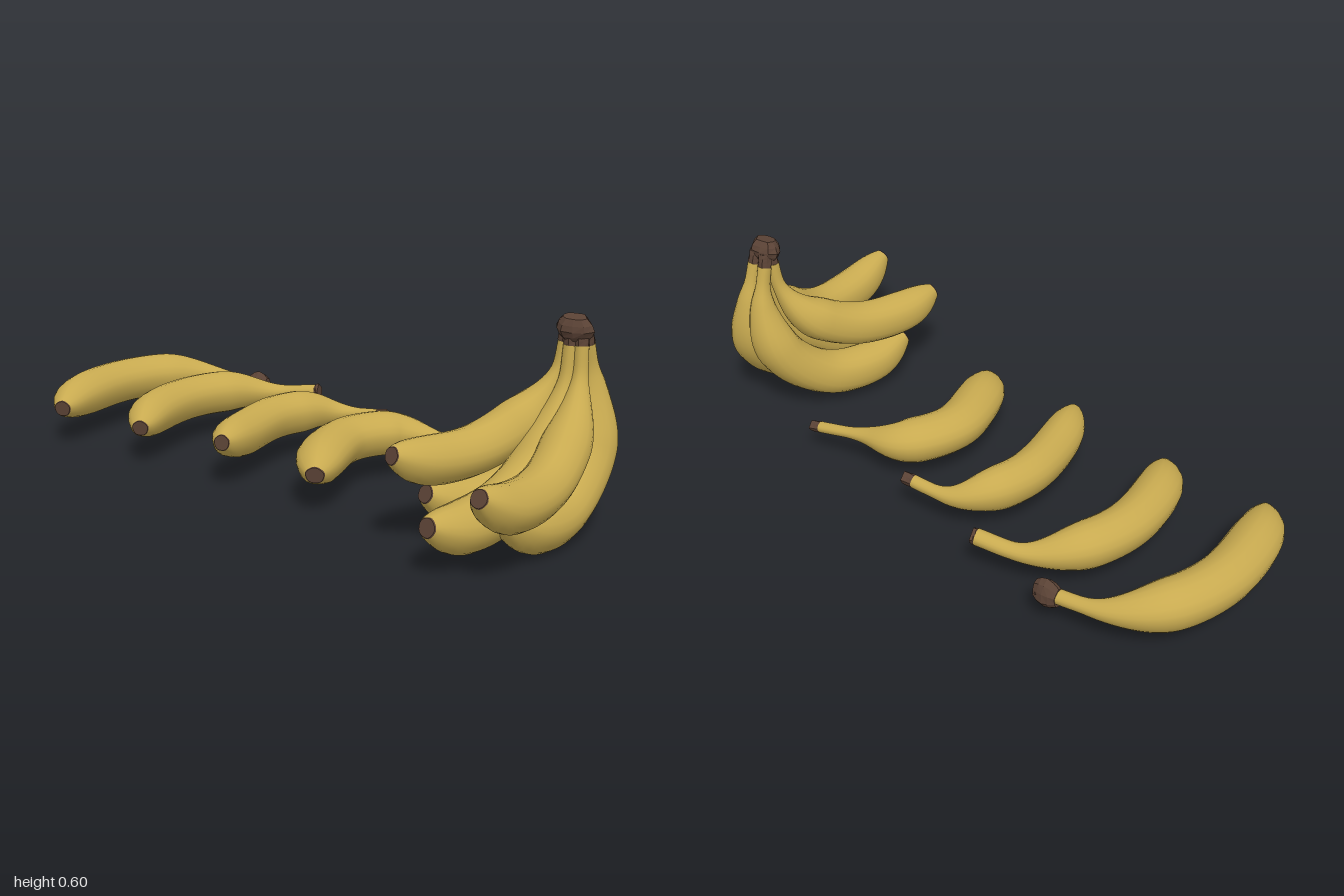
import * as THREE from 'three';

const peelMat = new THREE.MeshStandardMaterial({ color: 0xc8aa50 });
peelMat.name = 'yellow peel';
const barkMat = new THREE.MeshStandardMaterial({ color: 0x5a4235 });
barkMat.name = 'dark brown stem';

const { smoothstep, lerp } = THREE.MathUtils;
const UP = new THREE.Vector3(0, 1, 0);
const SIDE = new THREE.Vector3(1, 0, 0);

// Sweeps a softly five-sided section along a curve from u0 to u1 and closes both ends.
function sweep(path, radius, u0, u1, ref, { sides = 20, rings = 44, rough = 0, flat = 1 } = {}) {
  const pos = [], idx = [];
  for (let i = 0; i <= rings; i++) {
    const u = lerp(u0, u1, i / rings);
    const c = path.getPointAt(u), T = path.getTangentAt(u);
    const N = ref.clone().addScaledVector(T, -ref.dot(T)).normalize();
    const B = new THREE.Vector3().crossVectors(T, N);
    for (let j = 0; j < sides; j++) {
      const a = j / sides * Math.PI * 2;
      const k = radius(u) * (1 + 0.025 * Math.cos(5 * a) + rough * Math.sin(j * 2.7 + i * 0.6));
      const p = c.clone().addScaledVector(N, k * Math.cos(a)).addScaledVector(B, k * flat * Math.sin(a));
      pos.push(p.x, p.y, p.z);
    }
  }
  const at = (i, j) => i * sides + j % sides;
  for (let i = 0; i < rings; i++) for (let j = 0; j < sides; j++) {
    idx.push(at(i, j), at(i, j + 1), at(i + 1, j + 1), at(i, j), at(i + 1, j + 1), at(i + 1, j));
  }
  // flat end caps with their own vertices
  for (const [ring, u, flip] of [[0, u0, true], [rings, u1, false]]) {
    const base = pos.length / 3, c = path.getPointAt(u);
    pos.push(...pos.slice(at(ring, 0) * 3, at(ring + 1, 0) * 3), c.x, c.y, c.z);
    for (let j = 0; j < sides; j++) {
      const a = base + j, b = base + (j + 1) % sides;
      idx.push(base + sides, flip ? b : a, flip ? a : b);
    }
  }
  let geo = new THREE.BufferGeometry();
  geo.setAttribute('position', new THREE.Float32BufferAttribute(pos, 3));
  geo.setIndex(idx);
  if (rough) geo = geo.toNonIndexed(); // faceted bark
  geo.computeVertexNormals();
  return geo;
}

function part(name, geo, mat) {
  const mesh = new THREE.Mesh(geo, mat);
  mesh.name = name;
  return mesh;
}

// Rounded blossom end, full body, then a thin stem; neck is where the body has halved.
function bananaRadius(full, neck, stem) {
  return u => {
    const w = u < neck ? u * 0.77 / neck : 0.77 + (u - neck) * 0.23 / (1 - neck);
    const blossom = 0.34 + 0.66 * (1 - Math.pow(1 - Math.min(w / 0.3, 1), 3.5));
    return full * blossom * (1 - (1 - stem) * smoothstep(w, 0.57, 0.87));
  };
}

// The points run from the blossom tip to the stem.
function banana(name, points, ref, { full, neck = 0.77, stem = 0.3, bark = 0.95, flat = 1 }) {
  const g = new THREE.Group();
  g.name = name;
  const path = new THREE.CatmullRomCurve3(points);
  const radius = bananaRadius(full, neck, stem);
  g.add(
    part('blossomTip', sweep(path, radius, 0, 0.004, ref, { rings: 1, flat }), barkMat),
    part('peel', sweep(path, radius, 0.004, bark, ref, { flat }), peelMat),
    part('stemEnd', sweep(path, radius, bark, 1, ref, { sides: 9, rings: 3, rough: 0.1, flat }), barkMat),
  );
  return g;
}

// Loose banana lying on its side: [x, z] points, heights by rule.
function looseBanana(name, tipY, stemY, plan, shape) {
  const heights = [tipY, 0.133, 0.136, 0.134, 0.123, stemY];
  const points = plan.map(([x, z], i) => new THREE.Vector3(x, heights[i], z));
  return banana(name, points, UP, shape);
}

// Hanging banana: [z, y] points, with x easing from the tip to the crown.
function hangingBanana(name, tipX, crownX, profile, shape) {
  const points = profile.map(([z, y], i) =>
    new THREE.Vector3(lerp(tipX, crownX, smoothstep(i, 0, profile.length - 1)), y, z));
  return banana(name, points, SIDE, shape);
}

// Rough bulging lump of bark between two points.
function barkLump(name, from, to, ref, thin, bulge, flat) {
  const radius = u => thin + bulge * Math.sin(Math.PI * u);
  const geo = sweep(new THREE.LineCurve3(from, to), radius, 0, 1, ref, { sides: 10, rings: 4, rough: 0.08, flat });
  return part(name, geo, barkMat);
}

export function createModel() {
  const model = new THREE.Group();
  model.name = 'bananas';

  // four loose bananas in a row
  model.add(
    looseBanana('looseBanana1', 0.125, 0.108,
      [[-0.815, 0.325], [-0.88, 0.2], [-0.923, -0.02], [-0.885, -0.2], [-0.775, -0.325], [-0.58, -0.382]],
      { full: 0.072, flat: 1.07 }),
    looseBanana('looseBanana2', 0.122, 0.14,
      [[-0.465, 0.287], [-0.545, 0.16], [-0.588, -0.03], [-0.555, -0.19], [-0.46, -0.31], [-0.315, -0.376]],
      { full: 0.069, flat: 1.05, stem: 0.36, bark: 0.985 }),
    looseBanana('looseBanana3', 0.15, 0.133,
      [[-0.1, 0.277], [-0.165, 0.14], [-0.217, -0.06], [-0.19, -0.2], [-0.125, -0.28], [0.03, -0.327]],
      { full: 0.068, neck: 0.78, bark: 0.955 }),
    looseBanana('looseBanana4', 0.122, 0.092,
      [[0.255, 0.247], [0.165, 0.11], [0.113, -0.05], [0.17, -0.205], [0.3, -0.268], [0.478, -0.318]],
      { full: 0.068, flat: 1.15, neck: 0.73, stem: 0.25, bark: 0.96 }),
    barkLump('stemKnob', new THREE.Vector3(-0.645, 0.11, -0.37), new THREE.Vector3(-0.572, 0.108, -0.38),
      UP, 0.03, 0.016, 0.72),
  );

  // five bananas hanging from one crown
  const bunch = new THREE.Group();
  bunch.name = 'bunch';
  bunch.add(
    hangingBanana('upperRightBanana', 0.605, 0.778,
      [[0.325, 0.276], [0.2, 0.24], [0.02, 0.247], [-0.13, 0.325], [-0.195, 0.43], [-0.212, 0.56]],
      { full: 0.07 }),
    hangingBanana('upperLeftBanana', 0.943, 0.825,
      [[0.39, 0.255], [0.25, 0.193], [0.04, 0.198], [-0.11, 0.29], [-0.19, 0.41], [-0.21, 0.56]],
      { full: 0.07, neck: 0.79 }),
    hangingBanana('middleBanana', 0.79, 0.8,
      [[0.4, 0.143], [0.26, 0.108], [0.07, 0.13], [-0.07, 0.21], [-0.175, 0.38], [-0.205, 0.56]],
      { full: 0.075, neck: 0.78 }),
    hangingBanana('lowerRightBanana', 0.62, 0.78,
      [[0.2, 0.143], [0.07, 0.092], [-0.1, 0.105], [-0.235, 0.22], [-0.266, 0.37], [-0.228, 0.56]],
      { full: 0.073, neck: 0.82 }),
    hangingBanana('lowerLeftBanana', 0.888, 0.822,
      [[0.205, 0.145], [0.085, 0.085], [-0.09, 0.088], [-0.24, 0.21], [-0.27, 0.37], [-0.23, 0.56]],
      { full: 0.077, neck: 0.82 }),
    barkLump('crown', new THREE.Vector3(0.8, 0.53, -0.215), new THREE.Vector3(0.803, 0.596, -0.205),
      SIDE, 0.036, 0.022, 0.74),
  );
  model.add(bunch);
  return model;
}
